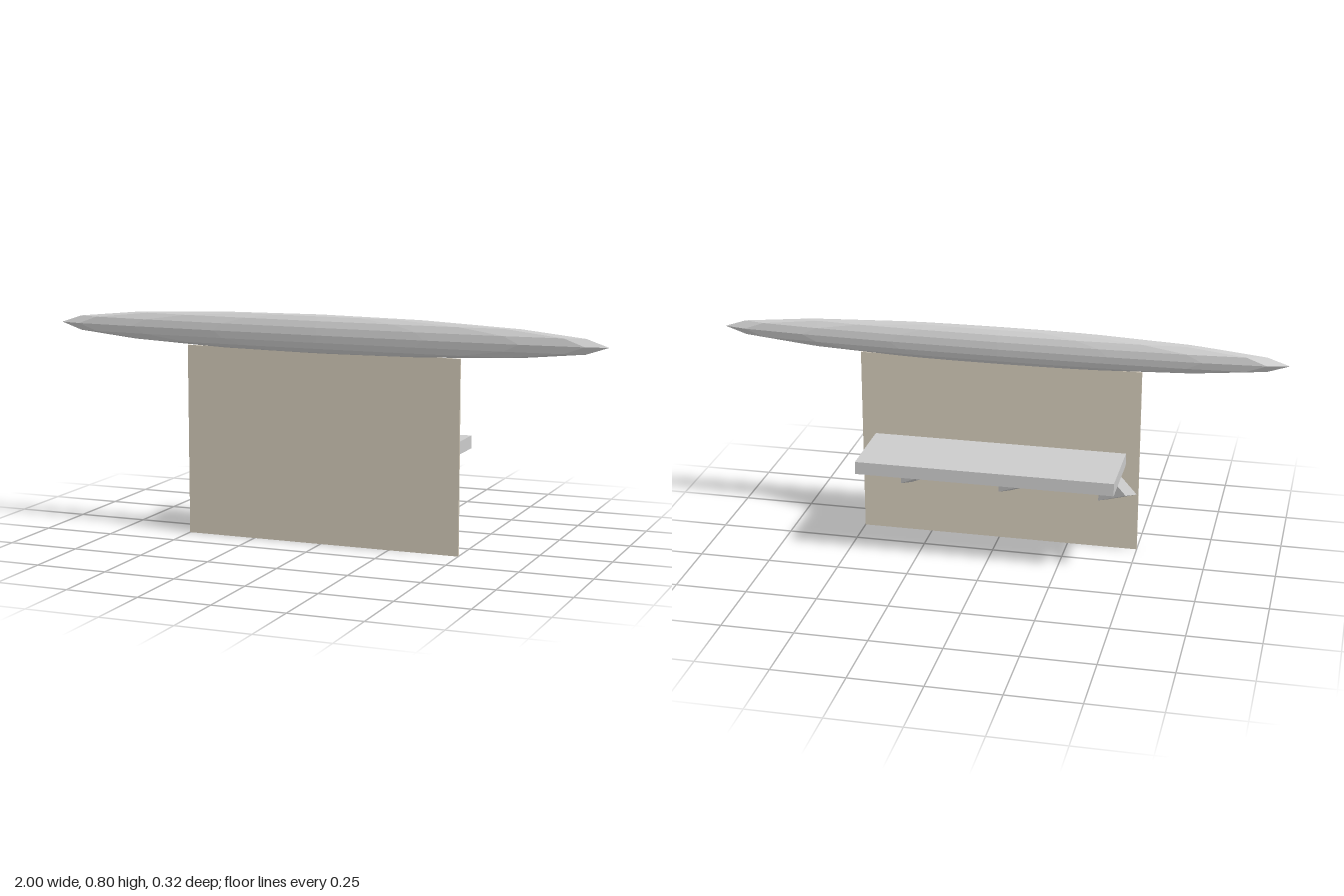
import * as THREE from 'three';

export function createModel() {
  const model = new THREE.Group();
  const grey = new THREE.MeshStandardMaterial({ color: 0xcccccc, flatShading: true });
  const tan = new THREE.MeshStandardMaterial({ color: 0xd2c9b8, flatShading: true });

  const add = (name, geometry, material, x, y, z) => {
    const mesh = new THREE.Mesh(geometry, material);
    mesh.name = name;
    mesh.position.set(x, y, z);
    model.add(mesh);
    return mesh;
  };

  // Thin upright panel
  add('panel', new THREE.BoxGeometry(1, 0.67, 0.007), tan, 0, 0.335, 0.1165);

  // Long faceted ellipsoid along the top edge
  const top = new THREE.SphereGeometry(1, 16, 8).scale(1, 0.067, 0.044);
  add('topFloat', top, grey, 0, 0.73, 0.1165);

  // Shelf on the back of the panel
  add('shelf', new THREE.BoxGeometry(0.905, 0.045, 0.273), grey, 0, 0.3425, -0.0235);

  // Three triangular brackets, turned sideways under the shelf
  const depth = 0.04;
  const profile = new THREE.Shape([
    new THREE.Vector2(0, 0),
    new THREE.Vector2(0.28, 0.137),
    new THREE.Vector2(0, 0.137),
  ]);
  const bracket = new THREE.ExtrudeGeometry(profile, { depth, bevelEnabled: false });
  bracket.translate(0, 0, -depth);
  bracket.rotateY(THREE.MathUtils.degToRad(118));
  for (const x of [-0.36, 0, 0.36]) add('bracket', bracket, grey, x, 0.183, 0.1);

  return model;
}
